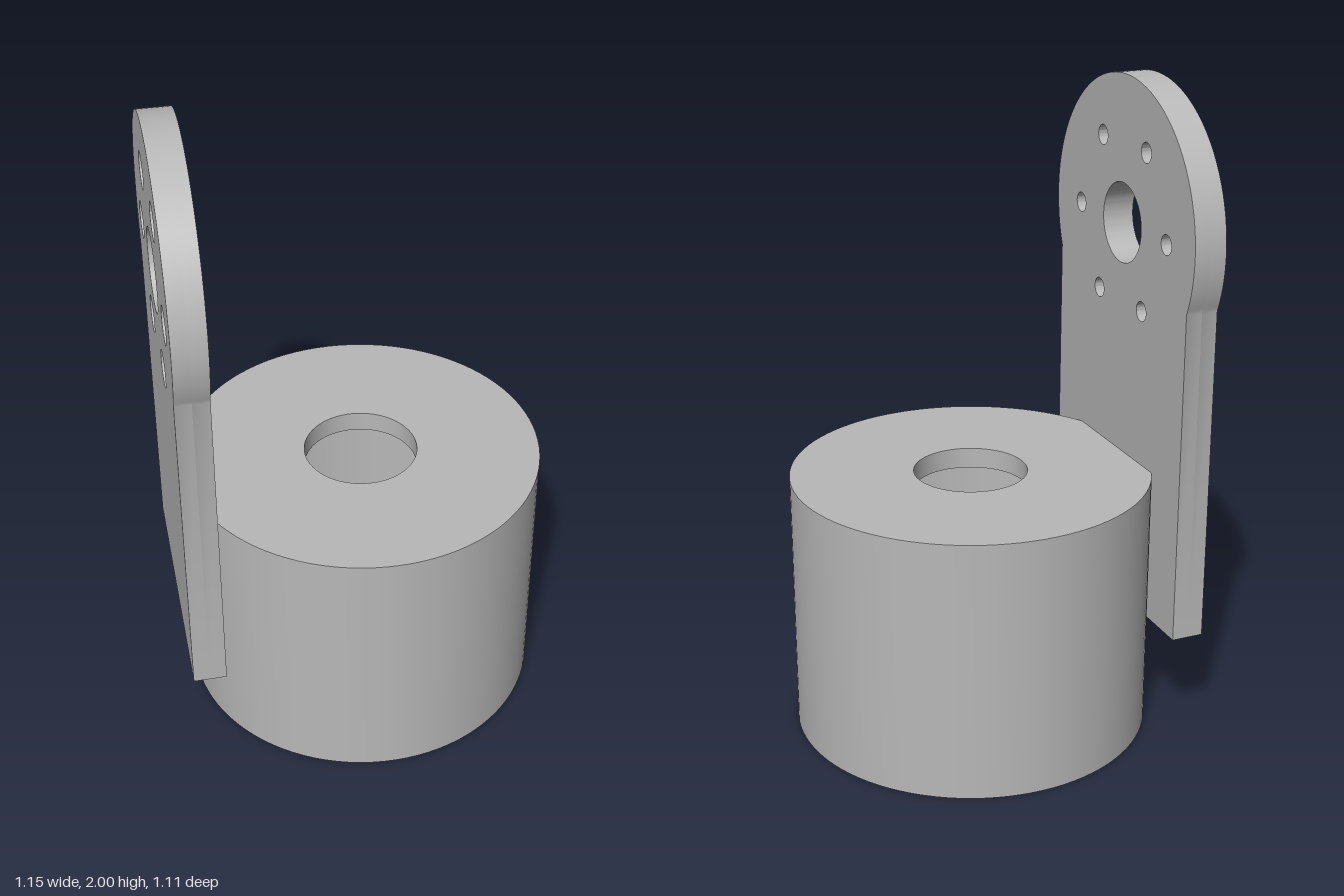
import * as THREE from 'three';
import { toCreasedNormals } from 'three/addons/utils/BufferGeometryUtils.js';

const CREASE = Math.PI / 6;

// Motor plate outline: straight sides rising into a round head, with holes
function plateLayer(boltRadius, x, depth) {
  const headY = 1.55, headR = 0.45, halfWidth = 0.415;
  const a = Math.acos(halfWidth / headR);
  const shape = new THREE.Shape();
  shape.moveTo(-halfWidth, 0.33);
  shape.lineTo(halfWidth, 0.33);
  shape.absarc(0, headY, headR, -a, Math.PI + a, false);
  shape.closePath();

  const addHole = (u, v, r) => {
    const hole = new THREE.Path();
    hole.absarc(u, v, r, 0, Math.PI * 2, true);
    shape.holes.push(hole);
  };
  addHole(0, headY, 0.124);
  for (let i = 0; i < 6; i++) {
    const t = (i * Math.PI) / 3;
    addHole(0.28 * Math.cos(t), headY + 0.28 * Math.sin(t), boltRadius);
  }

  const geo = new THREE.ExtrudeGeometry(shape, { depth, bevelEnabled: false, curveSegments: 48 });
  geo.rotateY(Math.PI / 2);
  geo.translate(x, 0, 0);
  return toCreasedNormals(geo, CREASE);
}

export function createModel() {
  const model = new THREE.Group();
  model.name = 'motorMount';
  const grey = new THREE.MeshStandardMaterial({ color: 0xb8b8b8 });
  grey.name = 'grey';

  const add = (name, geo, parent) => {
    const mesh = new THREE.Mesh(geo, grey);
    mesh.name = name;
    parent.add(mesh);
    return mesh;
  };

  // Cup: open at the bottom, with a round hole through its lid
  const R = 0.555, inner = 0.494, hole = 0.175, top = 0.82, lid = 0.065;
  const profile = [
    [hole, top - lid], [inner, top - lid], [inner, 0], [R, 0],
    [R, top], [hole, top], [hole, top - lid],
  ].map(([r, y]) => new THREE.Vector2(r, y));
  const cup = add('cup', toCreasedNormals(new THREE.LatheGeometry(profile, 96), CREASE), model);
  cup.position.x = 0.022;

  // Upright plate: counterbored outer layer and drilled inner layer
  const plate = new THREE.Group();
  plate.name = 'uprightPlate';
  add('plateOuterLayer', plateLayer(0.056, -0.578, 0.05), plate);
  add('plateInnerLayer', plateLayer(0.031, -0.528, 0.051), plate);
  model.add(plate);

  return model;
}
